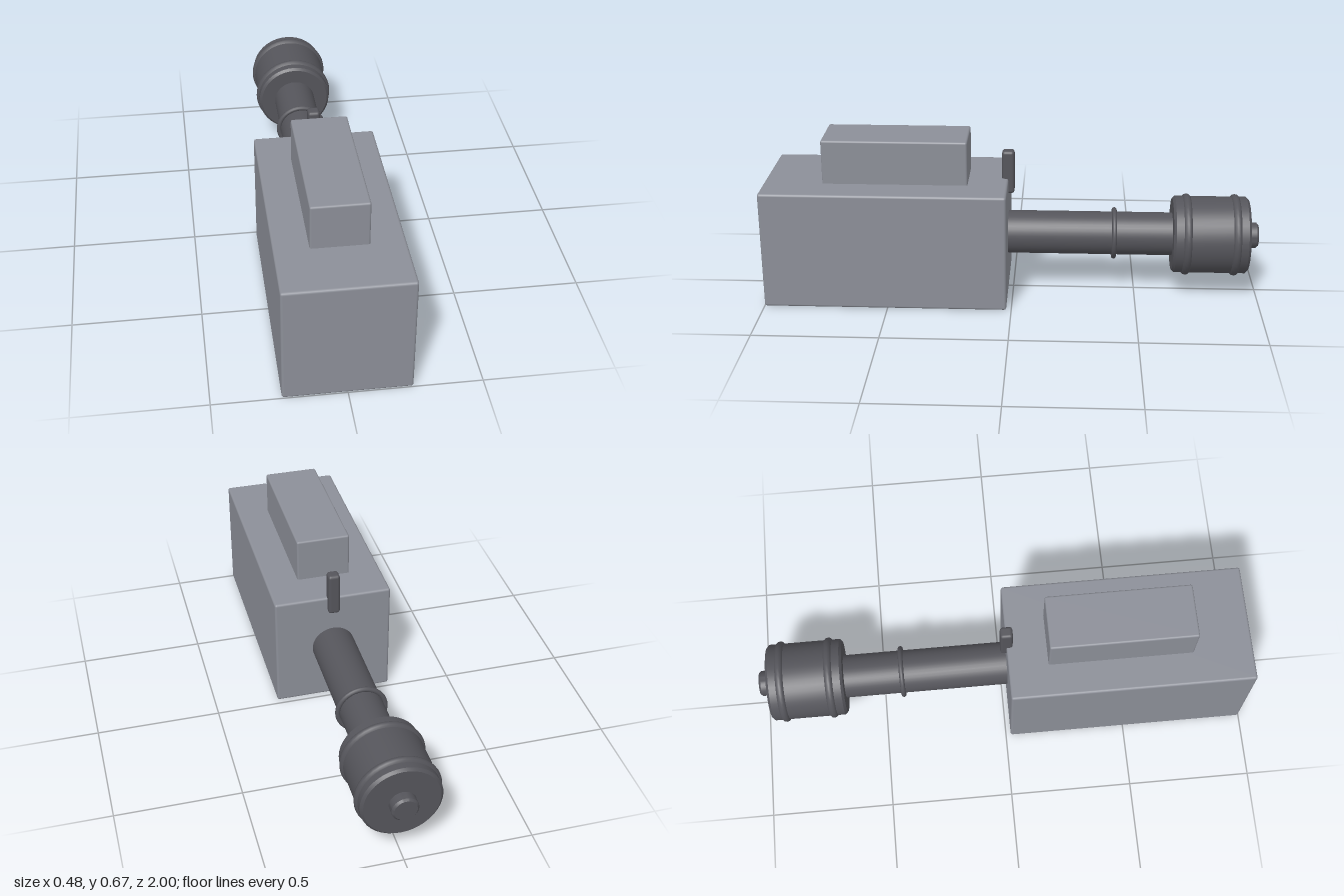
import * as THREE from 'three';
import { RoundedBoxGeometry } from 'three/addons/geometries/RoundedBoxGeometry.js';
import { toCreasedNormals } from 'three/addons/utils/BufferGeometryUtils.js';

const AXIS_Y = 0.246;

export function createModel() {
  const model = new THREE.Group();
  model.name = 'model';
  const shell = new THREE.MeshStandardMaterial({ color: 0x8c8f98 });
  const dark = new THREE.MeshStandardMaterial({ color: 0x55555b });

  const add = (name, geometry, material, x, y, z) => {
    const mesh = new THREE.Mesh(geometry, material);
    mesh.name = name;
    mesh.position.set(x, y, z);
    model.add(mesh);
    return mesh;
  };

  // Box given by its width and its y and z ranges, centred on x
  const block = (name, material, width, [y0, y1], [z0, z1], bevel) =>
    add(name, new RoundedBoxGeometry(width, y1 - y0, z1 - z0, 2, bevel),
      material, 0, (y0 + y1) / 2, (z0 + z1) / 2);

  // Turned part along z with chamfered ends
  const turned = (name, radius, zFront, zBack, chamfer) => {
    const length = zFront - zBack;
    const profile = [
      [0, 0], [radius - chamfer, 0], [radius, chamfer],
      [radius, length - chamfer], [radius - chamfer, length], [0, length],
    ].map(([r, h]) => new THREE.Vector2(r, h));
    const geometry = toCreasedNormals(new THREE.LatheGeometry(profile, 40), 0.6);
    geometry.rotateX(-Math.PI / 2);
    return add(name, geometry, dark, 0, AXIS_Y, zFront);
  };

  const ring = (name, outer, tube, z) =>
    add(name, new THREE.TorusGeometry(outer - tube, tube, 12, 40), dark, 0, AXIS_Y, z);

  // Housing, raised top block and the small upright catch
  block('housing', shell, 0.484, [0, 0.485], [0.02, 1], 0.01);
  block('topBlock', shell, 0.22, [0.44, 0.665], [0.18, 0.763], 0.008);
  block('catch', dark, 0.048, [0.42, 0.6], [-0.004, 0.046], 0.012);

  // Neck with its collar
  turned('neck', 0.088, 0.06, -0.68, 0.002);
  ring('neckCollar', 0.106, 0.01, -0.412);

  // Drum with two bands and an end cap
  turned('drum', 0.157, -0.648, -0.957, 0.01);
  for (const z of [-0.705, -0.902]) ring('drumBand', 0.167, 0.018, z);
  turned('endCap', 0.052, -0.94, -1, 0.008);

  return model;
}
